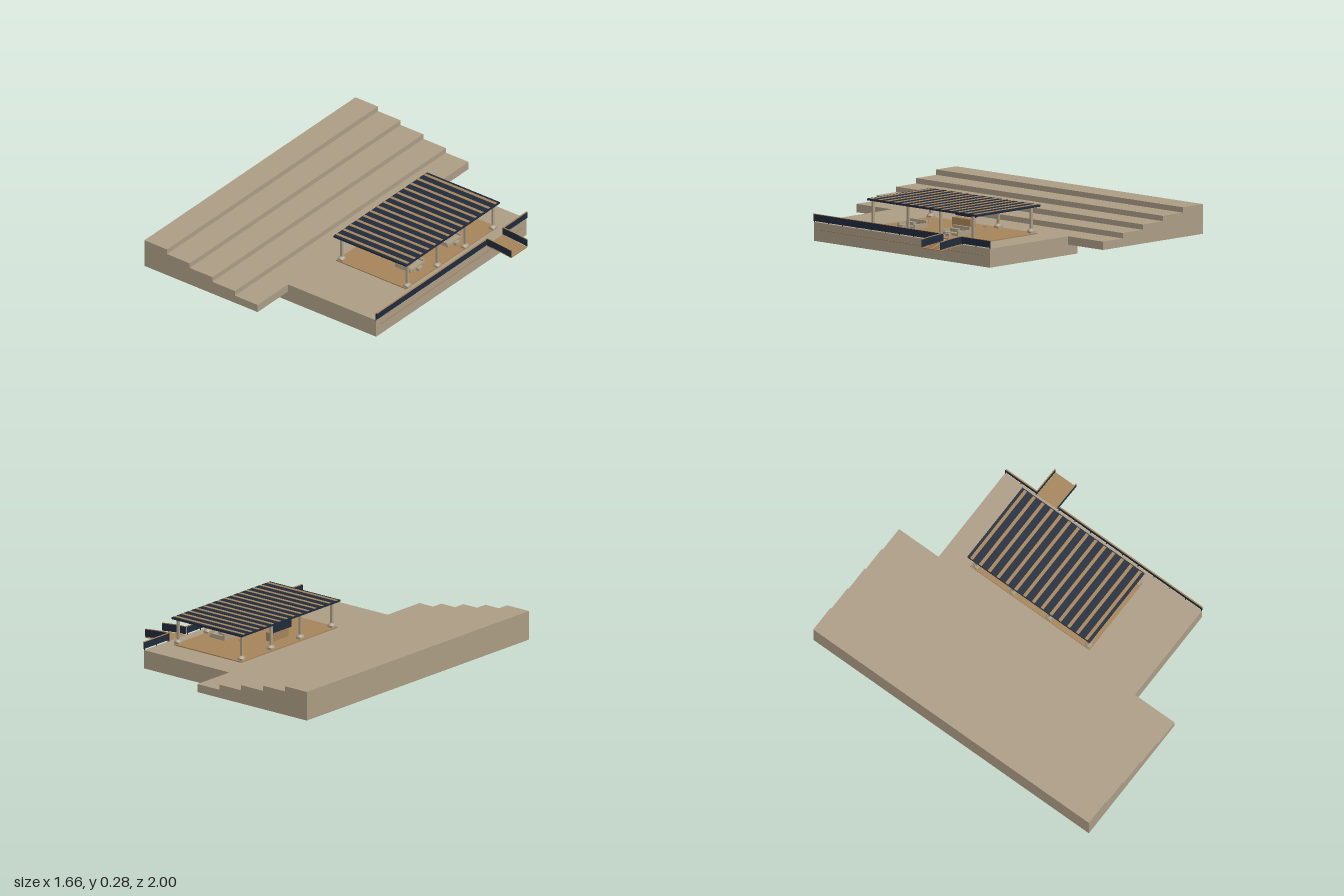
import * as THREE from 'three';

const material = (name, color) => {
  const m = new THREE.MeshStandardMaterial({ color });
  m.name = name;
  return m;
};

export function createModel() {
  const model = new THREE.Group();
  model.name = 'terracePavilion';
  const stone = material('stone', 0xab9c84);
  const wood = material('wood', 0xa5845a);
  const navy = material('navy', 0x1f2a3c);

  const add = (name, geometry, mat, parent = model) => {
    const mesh = new THREE.Mesh(geometry, mat);
    mesh.name = name;
    parent.add(mesh);
    return mesh;
  };
  // Box given by its lower and upper limits on each axis
  const box = (name, mat, x0, x1, y0, y1, z0, z1, parent = model) => {
    const g = new THREE.BoxGeometry(x1 - x0, y1 - y0, z1 - z0);
    g.translate((x0 + x1) / 2, (y0 + y1) / 2, (z0 + z1) / 2);
    return add(name, g, mat, parent);
  };
  const group = (name) => {
    const g = new THREE.Group();
    g.name = name;
    model.add(g);
    return g;
  };
  // Side profile in x and y, extruded from z0 to z1
  const profile = (points, z0, z1) => {
    const shape = new THREE.Shape(points.map(([x, y]) => new THREE.Vector2(x, y)));
    return new THREE.ExtrudeGeometry(shape, { depth: z1 - z0, bevelEnabled: false }).translate(0, 0, z0);
  };

  // Stepped terraces
  const steps = [[-0.833, 0.062], [0, 0.062]];
  for (let i = 0; i < 5; i++) {
    const y = 0.111 + i * 0.0315;
    steps.push([-i * 0.1666, y], [-(i + 1) * 0.1666, y]);
  }
  add('terraces', profile(steps, -1, 1), stone);

  // Lower platform with its trim and wooden deck
  box('platform', stone, -0.08, 0.65, 0, 0.111, -0.713, 0.713);
  box('platformTrim', wood, 0.649, 0.653, 0.066, 0.071, -0.67, 0.67);
  box('deck', wood, 0.062, 0.575, 0.11, 0.117, -0.53, 0.335);

  // Edge railing, open at the gangway
  const railing = group('railing');
  for (const [z0, z1] of [[-0.713, -0.488], [-0.325, 0.713]]) {
    box('railPanel', navy, 0.65, 0.655, 0.118, 0.158, z0, z1, railing);
    box('railCap', wood, 0.649, 0.657, 0.158, 0.161, z0, z1, railing);
    const count = Math.round((z1 - z0) / 0.11);
    for (let i = 0; i <= count; i++) {
      const z = z0 + 0.002 + (i / count) * (z1 - z0 - 0.004);
      box('railPost', navy, 0.646, 0.65, 0.111, 0.158, z - 0.002, z + 0.002, railing);
    }
  }

  // Sloping gangway of planks
  const gangway = group('gangway');
  const slopeY = (t) => 0.112 - 0.006 * t - 0.009 * t * t;
  const planks = 8;
  for (let i = 0; i < planks; i++) {
    const x = 0.65 + (i * 0.18) / planks;
    const y = slopeY((i + 0.5) / planks);
    box('plank', wood, x, x + 0.18 / planks, y - 0.006, y, -0.485, -0.337, gangway);
  }
  // Gangway side rails follow the slope
  const band = (low, high) => {
    const ts = [0, 0.25, 0.5, 0.75, 1];
    const edge = (h) => ts.map((t) => [0.65 + 0.18 * t, slopeY(t) + h]);
    return [...edge(low), ...edge(high).reverse()];
  };
  for (const z of [-0.487, -0.335]) {
    add('gangwayRail', profile(band(0.003, 0.047), z - 0.002, z + 0.002), navy, gangway);
    add('gangwayCap', profile(band(0.047, 0.051), z - 0.003, z + 0.003), wood, gangway);
  }

  // Pavilion posts on flared feet
  const posts = group('posts');
  for (const x of [0.086, 0.568]) {
    for (const z of [-0.5, -0.235, 0.028, 0.312]) {
      box('post', stone, x - 0.007, x + 0.007, 0.117, 0.272, z - 0.007, z + 0.007, posts);
      box('postFoot', stone, x - 0.018, x + 0.018, 0.116, 0.129, z - 0.018, z + 0.018, posts);
      const foot = new THREE.CylinderGeometry(0.015, 0.0255, 0.014, 4).rotateY(Math.PI / 4);
      foot.translate(x, 0.136, z);
      add('postTaper', foot, stone, posts);
    }
  }

  // Flat roof with wooden slats
  const roof = group('roof');
  box('roofSlab', navy, 0.05, 0.585, 0.272, 0.283, -0.542, 0.345, roof);
  for (let i = 0; i < 14; i++) {
    const z = -0.514 + i * 0.064;
    box('roofSlat', wood, 0.053, 0.58, 0.281, 0.285, z - 0.01, z + 0.01, roof);
  }

  // Counter with a screen behind it
  box('screen', navy, 0.16, 0.166, 0.172, 0.23, -0.13, 0.037);
  box('counter', wood, 0.168, 0.212, 0.117, 0.168, -0.13, 0.02);

  // High tables
  for (const z of [-0.3, 0.16]) {
    const table = group('highTable');
    table.position.set(0.263, 0.117, z);
    add('tableStem', new THREE.CylinderGeometry(0.003, 0.003, 0.036, 10).translate(0, 0.018, 0), stone, table);
    add('tableTop', new THREE.CylinderGeometry(0.011, 0.011, 0.004, 16).translate(0, 0.037, 0), wood, table);
  }

  // Two seating sets
  for (const z of [-0.235, 0.12]) {
    const set = group('seatingSet');
    set.position.z = z;
    box('sofaSeat', stone, 0.384, 0.495, 0.122, 0.137, -0.07, 0.07, set);
    box('sofaBack', stone, 0.382, 0.398, 0.122, 0.164, -0.07, 0.07, set);
    for (const s of [-1, 1]) {
      box('sofaArm', stone, 0.398, 0.49, 0.137, 0.148, s * 0.064 - 0.006, s * 0.064 + 0.006, set);
    }
    box('cushion', stone, 0.436, 0.46, 0.137, 0.156, -0.03, 0.03, set);
    box('stool', stone, 0.498, 0.52, 0.117, 0.134, -0.02, 0.02, set);
  }

  return model;
}
